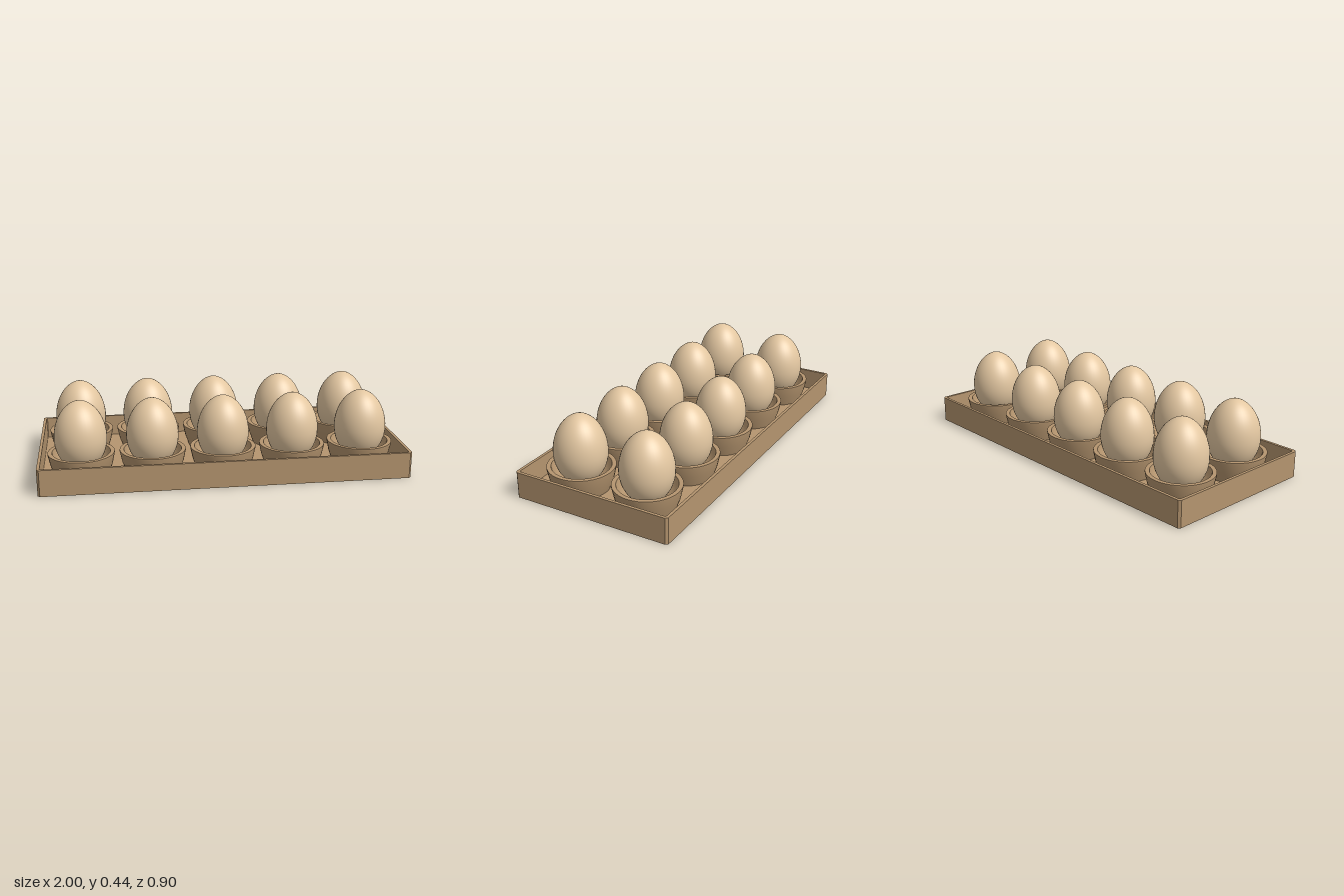
import * as THREE from 'three';

const trayMat = new THREE.MeshStandardMaterial({ color: 0xb5956f });
const eggMat = new THREE.MeshStandardMaterial({ color: 0xe3c7a1 });

// Rectangle with small cut corners
function cutRect(Ctor, hw, hd, c) {
  return new Ctor([
    [hw - c, -hd], [hw, -hd + c], [hw, hd - c], [hw - c, hd],
    [-hw + c, hd], [-hw, hd - c], [-hw, -hd + c], [-hw + c, -hd],
  ].map(([x, y]) => new THREE.Vector2(x, y)));
}

// Upright extrusion standing on y = 0
function slab(shape, height, name) {
  const geo = new THREE.ExtrudeGeometry(shape, { depth: height, bevelEnabled: false });
  geo.rotateX(-Math.PI / 2);
  const mesh = new THREE.Mesh(geo, trayMat);
  mesh.name = name;
  return mesh;
}

// Egg profile: round bottom, narrower top
function eggGeometry() {
  const mid = 0.23, up = 0.207, down = 0.18, radius = 0.142, n = 32;
  const pts = [];
  for (let i = 0; i <= n; i++) {
    const a = -Math.PI / 2 + (Math.PI * i) / n;
    const s = Math.sin(a), c = Math.max(0, Math.cos(a));
    pts.push(new THREE.Vector2(radius * Math.pow(c, s > 0 ? 1.1 : 1), mid + s * (s > 0 ? up : down)));
  }
  return new THREE.LatheGeometry(pts, 40);
}

// Lathe strip from [radius, y] pairs
function lathe(pairs) {
  return new THREE.LatheGeometry(pairs.map(([r, y]) => new THREE.Vector2(r, y)), 40);
}

export function createModel() {
  const group = new THREE.Group();

  // Tray: floor and thin wall
  const wall = cutRect(THREE.Shape, 1, 0.45, 0.012);
  wall.holes.push(cutRect(THREE.Path, 0.984, 0.434, 0.004));
  group.add(slab(wall, 0.145, 'trayWall'));
  group.add(slab(cutRect(THREE.Shape, 0.99, 0.44, 0.006), 0.025, 'trayFloor'));

  // Cup: tapered outside, flat lip, rounded bowl inside
  const cupParts = [
    ['cupOutside', lathe([[0.145, 0.02], [0.168, 0.085], [0.18, 0.142], [0.18, 0.15]])],
    ['cupLip', lathe([[0.18, 0.15], [0.157, 0.15]])],
    ['cupBowl', lathe([[0.157, 0.15], [0.148, 0.12], [0.128, 0.085], [0.09, 0.055], [0, 0.04]])],
  ];
  const egg = eggGeometry();

  // Two rows of five eggs in cups
  for (const z of [-0.2, 0.2]) {
    for (let i = -2; i <= 2; i++) {
      const place = new THREE.Group();
      place.name = 'eggPlace';
      place.position.set(i * 0.386, 0, z);
      for (const [name, geo] of cupParts) {
        const part = new THREE.Mesh(geo, trayMat);
        part.name = name;
        place.add(part);
      }
      const eggMesh = new THREE.Mesh(egg, eggMat);
      eggMesh.name = 'egg';
      place.add(eggMesh);
      group.add(place);
    }
  }
  return group;
}
